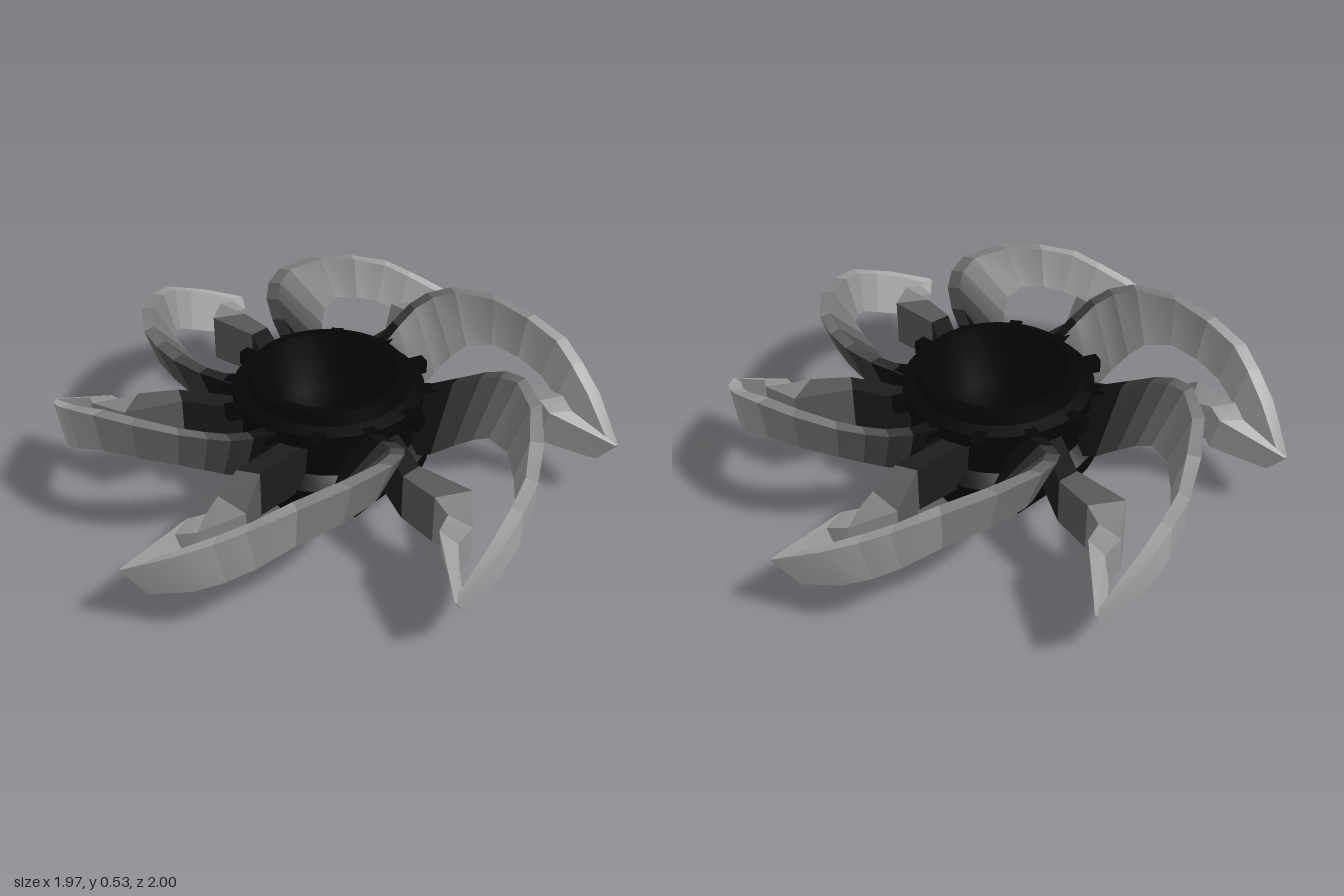
import * as THREE from 'three';
import { toCreasedNormals } from 'three/addons/utils/BufferGeometryUtils.js';
import { ConvexGeometry } from 'three/addons/geometries/ConvexGeometry.js';

const grey = (v) => new THREE.MeshStandardMaterial({ color: new THREE.Color(v, v, v) });
const hubMat = grey(0.0015);
// Grey ramp: dark at the hub, light at the tips
const ramp = Array.from({ length: 16 }, (_, i) => grey(0.003 + 0.4 * Math.pow(i / 15, 1.9)));

const polar = (r, deg, y) => {
  const a = THREE.MathUtils.degToRad(deg);
  return new THREE.Vector3(r * Math.cos(a), y, r * Math.sin(a));
};

// Solid swept through four-cornered sections, shaded by distance from the axis
function sweep(sections, name) {
  const pos = [];
  const geo = new THREE.BufferGeometry();
  const tri = (...pts) => pts.forEach((p) => pos.push(...p));
  const last = sections.length - 2;
  for (let i = 0; i <= last; i++) {
    const start = pos.length / 3;
    const a = sections[i], b = sections[i + 1];
    for (let k = 0; k < 4; k++) {
      const n = (k + 1) % 4;
      tri(a[k], a[n], b[n]);
      tri(a[k], b[n], b[k]);
    }
    if (i === 0) { tri(a[0], a[2], a[1]); tri(a[0], a[3], a[2]); }
    if (i === last) { tri(b[0], b[1], b[2]); tri(b[0], b[2], b[3]); }
    const r = (Math.hypot(a[0][0], a[0][2]) + Math.hypot(b[0][0], b[0][2])) / 2;
    const shade = THREE.MathUtils.clamp(Math.round((r - 0.32) / 0.63 * 15), 0, 15);
    geo.addGroup(start, pos.length / 3 - start, shade);
  }
  geo.setAttribute('position', new THREE.Float32BufferAttribute(pos, 3));
  const mesh = new THREE.Mesh(toCreasedNormals(geo, 0.55), ramp);
  mesh.name = name;
  return mesh;
}

// Curved outer band: outer x, z, inner x, z, top y, bottom y, underside lean, underside slide
function outerBand() {
  const stations = [
    [-0.750, -0.705, -0.735, -0.665, 0.245, 0.14, 0, 0.085],
    [-0.82, -0.53, -0.765, -0.50, 0.345, 0.20, 0.1, 0.05],
    [-0.845, -0.41, -0.785, -0.39, 0.405, 0.25, 0.15, 0.03],
    [-0.855, -0.31, -0.785, -0.29, 0.455, 0.30, 0.2, 0.02],
    [-0.825, -0.16, -0.745, -0.18, 0.50, 0.35, 0.25, 0],
    [-0.765, 0.005, -0.69, -0.09, 0.53, 0.38, 0.25, 0],
    [-0.668, 0.14, -0.61, -0.035, 0.53, 0.375, 0.3, 0],
    [-0.59, 0.185, -0.55, -0.02, 0.51, 0.34, 0.35, 0],
    [-0.515, 0.198, -0.48, -0.015, 0.48, 0.29, 0.4, 0],
    [-0.42, 0.18, -0.40, -0.015, 0.44, 0.23, 0.45, 0],
    [-0.27, 0.13, -0.27, -0.01, 0.39, 0.18, 0.5, 0],
  ];
  return sweep(stations.map(([ox, oz, ix, iz, top, bottom, lean, slide]) => {
    const t = Math.min(0.9, 0.045 / Math.hypot(ix - ox, iz - oz));
    const at = (f, y, dz) => [ox + (ix - ox) * f, y, oz + (iz - oz) * f + dz];
    return [at(0, top, 0), at(lean, bottom, slide), at(1, bottom, slide), at(t, top, 0)];
  }), 'outerBand');
}

// Zigzag inner arm with a barb: inner x, z, outer x, z, top y, bottom y, underside slide
function zigzagArm() {
  return sweep([
    [-0.748, -0.70, -0.740, -0.70, 0.245, 0.14, 0.085],
    [-0.685, -0.53, -0.610, -0.495, 0.32, 0.18, 0.04],
    [-0.705, -0.46, -0.615, -0.435, 0.34, 0.20, 0.01],
    [-0.650, -0.31, -0.555, -0.395, 0.36, 0.18, 0],
    [-0.450, -0.26, -0.423, -0.335, 0.36, 0.19, 0],
    [-0.290, -0.09, -0.270, -0.175, 0.36, 0.18, 0],
  ].map(([ix, iz, ox, oz, top, bottom, slide]) => [
    [ix, top, iz], [ix, bottom, iz + slide], [ox, bottom, oz + slide], [ox, top, oz],
  ]), 'zigzagArm');
}

function createHub() {
  const hub = new THREE.Group();
  hub.name = 'hub';
  const add = (geo, name) => {
    const mesh = new THREE.Mesh(geo, hubMat);
    mesh.name = name;
    hub.add(mesh);
    return mesh;
  };

  // Hollow body with a toothed flange, a raised rim and a bowl inside
  const profile = [
    [0.16, 0.10], [0.30, 0.11], [0.365, 0.15], [0.365, 0.20], [0.32, 0.24], [0.31, 0.35], [0.34, 0.36],
    [0.34, 0.41], [0.29, 0.42], [0.28, 0.47], [0.25, 0.47], [0.24, 0.41], [0.20, 0.25], [0.16, 0.14], [0.16, 0.10],
  ].map(([r, y]) => new THREE.Vector2(r, y));
  add(toCreasedNormals(new THREE.LatheGeometry(profile, 36), 0.5), 'hubBody');

  // Floor plate with a notched six-sided opening
  const plate = new THREE.Shape().absarc(0, 0, 0.21, 0, Math.PI * 2);
  const hole = [];
  for (let k = 0; k < 6; k++) {
    for (const [r, deg] of [[0.163, -6], [0.135, 38], [0.152, 42]]) {
      const p = polar(r, k * 60 + deg, 0);
      hole.push(new THREE.Vector2(p.x, p.z));
    }
  }
  plate.holes.push(new THREE.Path(hole));
  const floor = add(new THREE.ExtrudeGeometry(plate, { depth: 0.05, bevelEnabled: false, curveSegments: 24 }), 'hubFloor');
  floor.rotation.x = Math.PI / 2;
  floor.position.y = 0.145;

  // Broad pointed petals under the hub
  for (let k = 0; k < 6; k++) {
    const deg = k * 60 - 16;
    add(new ConvexGeometry([
      polar(0.365, deg - 30, 0.17), polar(0.365, deg, 0.17), polar(0.365, deg + 30, 0.17),
      polar(0.19, deg - 30, 0.12), polar(0.19, deg + 30, 0.12), polar(0.27, deg - 29, 0.075),
      polar(0.27, deg + 29, 0.075), polar(0.265, deg, 0), polar(0.17, deg, 0.06),
    ]), 'petal');
  }

  // Teeth around the flange
  for (let k = 0; k < 12; k++) {
    const deg = k * 30 + 10;
    const tooth = add(new THREE.BoxGeometry(0.08, 0.05, 0.045), 'flangeTooth');
    tooth.position.copy(polar(0.345, deg, 0.39));
    tooth.rotation.y = -THREE.MathUtils.degToRad(deg);
  }
  return hub;
}

export function createModel() {
  const model = new THREE.Group();
  model.name = 'bladedRotor';
  model.add(createHub());

  // Six identical hooked blades
  const band = outerBand(), arm = zigzagArm();
  for (let k = 0; k < 6; k++) {
    const blade = new THREE.Group();
    blade.name = 'blade';
    blade.add(band.clone(), arm.clone());
    blade.rotation.y = k * Math.PI / 3;
    model.add(blade);
  }
  return model;
}
